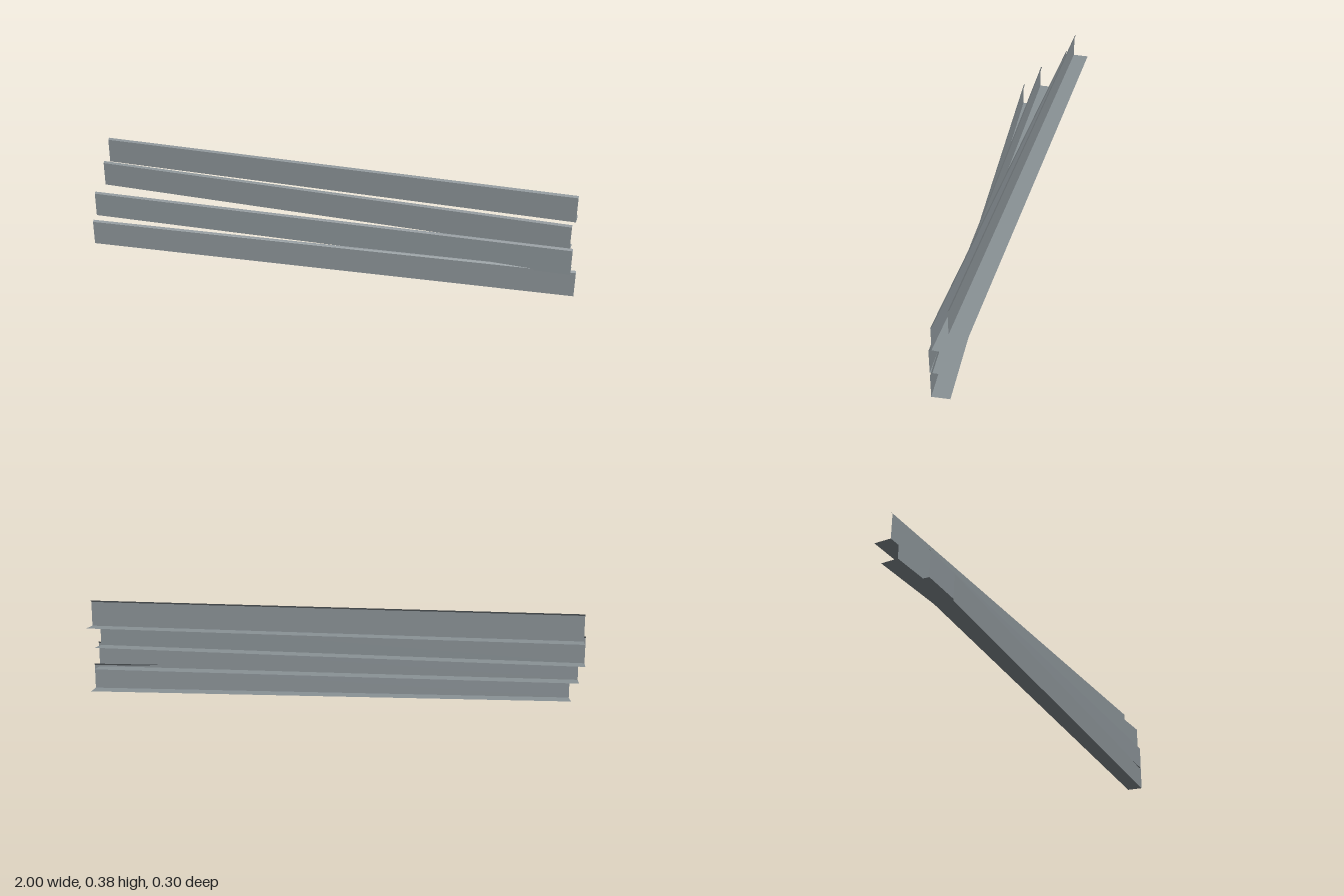
import * as THREE from 'three';

const WEB = 0.0985, LIP = 0.007, FLANGE = 0.066, STEP = 0.0927;

// Quad strip swept along x between two profile points [y, z]
function strip(length, [ya, za], [yb, zb]) {
  const h = length / 2;
  const g = new THREE.BufferGeometry();
  g.setAttribute('position', new THREE.Float32BufferAttribute([
    -h, ya, za, h, ya, za, h, yb, zb,
    -h, ya, za, h, yb, zb, -h, yb, zb,
  ], 3));
  g.computeVertexNormals();
  return g;
}

export function createModel() {
  const model = new THREE.Group();
  model.name = 'stackedSheetMetalRails';

  const steel = new THREE.MeshStandardMaterial({ color: 0x8a9296, side: THREE.DoubleSide });
  steel.name = 'galvanised steel';

  // Folded profile: rear flange edge, bottom fold, top fold, slanted lip edge
  const profile = [[0, -FLANGE], [0, 0], [WEB, 0], [WEB + LIP, -LIP]];
  const parts = ['bottomFlange', 'web', 'topLip'];

  // Front-face end points of each rail, lowest first: x and z of both ends
  const rails = [
    [-0.965, 0.151, 0.999, 0.045],
    [-0.989, 0.073, 0.979, 0.052],
    [-1.0, -0.044, 0.967, 0.045],
    [-0.99, -0.084, 0.977, -0.019],
  ];

  rails.forEach(([x0, z0, x1, z1], i) => {
    const rail = new THREE.Group();
    rail.name = `rail${i + 1}`;
    const length = Math.hypot(x1 - x0, z1 - z0);
    parts.forEach((name, k) => {
      const mesh = new THREE.Mesh(strip(length, profile[k], profile[k + 1]), steel);
      mesh.name = name;
      rail.add(mesh);
    });
    rail.position.set((x0 + x1) / 2, i * STEP, (z0 + z1) / 2);
    rail.rotation.y = Math.atan2(z0 - z1, x1 - x0);
    model.add(rail);
  });

  return model;
}
